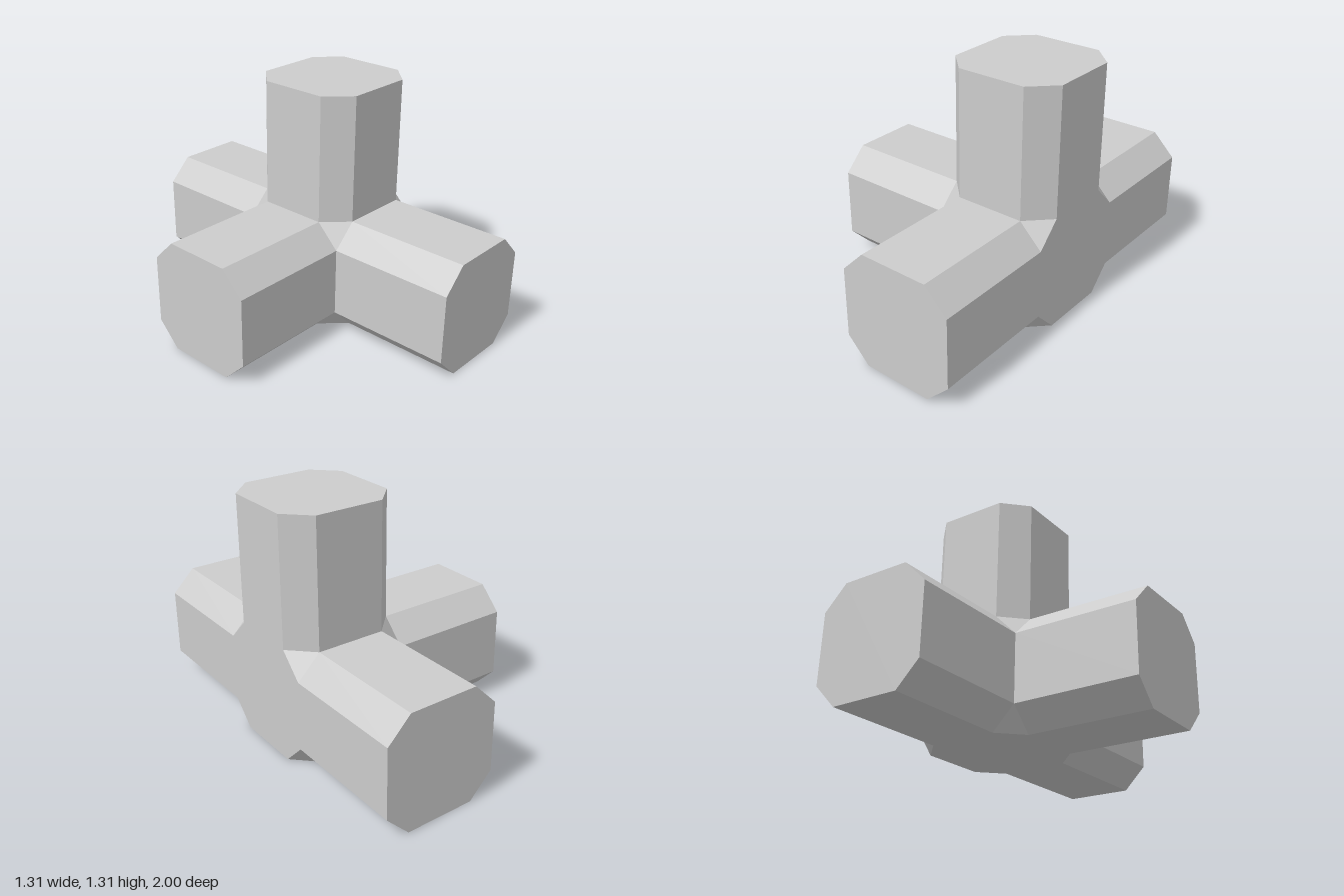
import * as THREE from 'three';

const HALF = 0.3125;   // half width of the hub and of every arm
const FLAT = 0.1875;   // half width of the flat sides between the bevels
const REACH = 1;       // hub centre to arm end

// Bevelled square section, counter-clockwise
const OCTAGON = [
  [FLAT, -HALF], [HALF, -FLAT], [HALF, FLAT], [FLAT, HALF],
  [-FLAT, HALF], [-HALF, FLAT], [-HALF, -FLAT], [-FLAT, -HALF],
];
const ring = z => OCTAGON.map(([x, y]) => new THREE.Vector3(x, y, z));

function facets(points) {
  const geometry = new THREE.BufferGeometry().setFromPoints(points);
  geometry.computeVertexNormals();
  return geometry;
}

// Flat octagon facing +z
function octagonFace(z) {
  const r = ring(z), points = [];
  for (let i = 1; i < 7; i++) points.push(r[0], r[i], r[i + 1]);
  return points;
}

// Arm along +z, open where it meets the hub
function armGeometry() {
  const a = ring(HALF), b = ring(REACH), points = octagonFace(REACH);
  for (let i = 0; i < 8; i++) {
    const j = (i + 1) % 8;
    points.push(a[i], a[j], b[j], a[i], b[j], b[i]);
  }
  return facets(points);
}

// The eight cut corners of the hub cube
function cornerGeometry() {
  const points = [];
  for (const x of [-1, 1]) for (const y of [-1, 1]) for (const z of [-1, 1]) {
    const tri = [
      new THREE.Vector3(x * FLAT, y * HALF, z * HALF),
      new THREE.Vector3(x * HALF, y * FLAT, z * HALF),
      new THREE.Vector3(x * HALF, y * HALF, z * FLAT),
    ];
    if (x * y * z < 0) tri.reverse();
    points.push(...tri);
  }
  return facets(points);
}

export function createModel() {
  const grey = new THREE.MeshStandardMaterial({ color: 0xcccccc });
  grey.name = 'light grey';

  const model = new THREE.Group();
  model.name = 'fourWayJunction';
  const add = (name, geometry, rx = 0, ry = 0) => {
    const mesh = new THREE.Mesh(geometry, grey);
    mesh.name = name;
    mesh.rotation.set(rx, ry, 0);
    mesh.position.set(0.34375, HALF, 0);
    model.add(mesh);
  };

  // Arms
  const quarter = Math.PI / 2;
  const arm = armGeometry();
  add('frontArm', arm);
  add('backArm', arm, 0, Math.PI);
  add('rightArm', arm, 0, -quarter);
  add('upperArm', arm, -quarter);

  // Hub: cut corners and the two sides without an arm
  const face = facets(octagonFace(HALF));
  add('hubCorners', cornerGeometry());
  add('hubLeftFace', face, 0, quarter);
  add('hubBottomFace', face, quarter);

  return model;
}
